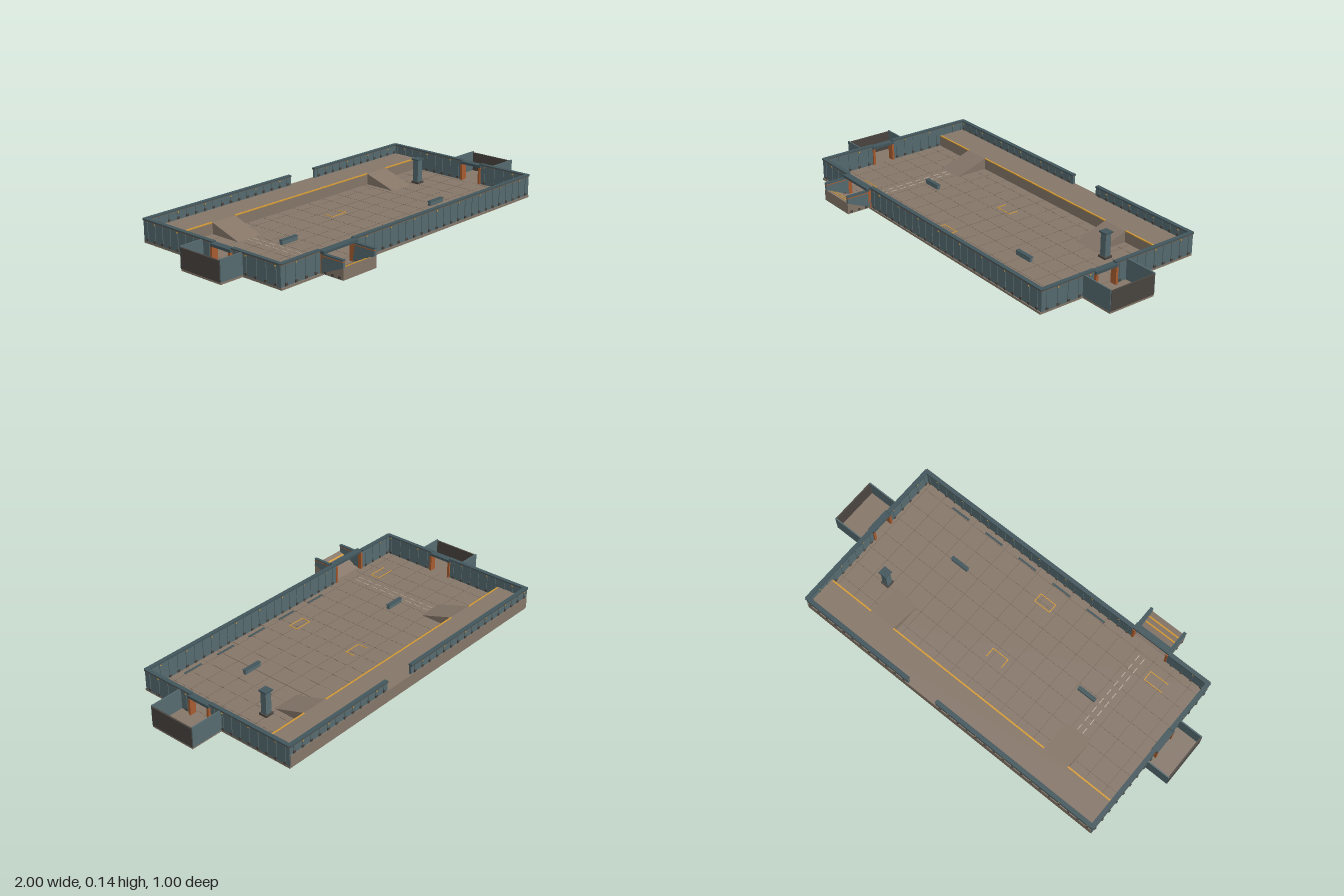
import * as THREE from 'three';

export function createModel() {
  const root = new THREE.Group();
  const mat = (name, color, side = THREE.FrontSide) => {
    const m = new THREE.MeshStandardMaterial({ color, side });
    m.name = name;
    return m;
  };
  const steel = mat('teal steel', 0x566b70);
  const trim = mat('dark teal trim', 0x42565c);
  const ground = mat('tan concrete', 0x857668);
  const seamMat = mat('seam brown', 0x6b5e52);
  const dark = mat('charcoal', 0x4a4540);
  const orange = mat('rust orange', 0xa85c30);
  const yellow = mat('marking yellow', 0xd39a35);
  const pale = mat('pale paint', 0xb5aa98);

  // box given by its bounds
  const box = (name, m, x0, x1, y0, y1, z0, z1, parent = root) => {
    const mesh = new THREE.Mesh(new THREE.BoxGeometry(x1 - x0, y1 - y0, z1 - z0), m);
    mesh.position.set((x0 + x1) / 2, (y0 + y1) / 2, (z0 + z1) / 2);
    mesh.name = name;
    parent.add(mesh);
    return mesh;
  };
  // side profile of [z, y] points, swept from x0 to x1
  const profile = (name, m, pts, x0, x1) => {
    const shape = new THREE.Shape(pts.map(p => new THREE.Vector2(p[0], p[1])));
    const geo = new THREE.ExtrudeGeometry(shape, { depth: x1 - x0, bevelEnabled: false });
    geo.rotateY(-Math.PI / 2).translate(x1, 0, 0);
    const mesh = new THREE.Mesh(geo, m);
    mesh.name = name;
    root.add(mesh);
  };

  const L = -0.875, R = 0.83, B = -0.495, F = 0.37, FLOOR = 0.01, DECK = 0.065, TOP = 0.112;

  // floor slab and raised rear deck
  box('floorSlab', ground, L, R, 0, FLOOR, B, F + 0.005);
  box('rearDeck', ground, L + 0.004, R - 0.004, FLOOR, DECK, B - 0.004, -0.335);

  // wall run along local x, outside face towards local +z
  const wall = (name, len, y0, x, z, turn) => {
    const g = new THREE.Group();
    g.name = name;
    const h = len / 2;
    box('panel', steel, -h, h, y0, TOP - 0.003, -0.012, 0, g);
    box('cap', trim, -h, h, TOP - 0.004, TOP + 0.003, -0.016, 0.005, g);
    box('capStripe', orange, -h, h, TOP - 0.006, TOP - 0.004, -0.0135, 0.004, g);
    const n = Math.max(1, Math.round(len / 0.0535));
    for (let i = 0; i < n; i++) {
      const c = -h + (i + 0.5) * len / n;
      box('rib', steel, c - 0.004, c + 0.004, y0, TOP - 0.006, -0.015, 0.003, g);
      box('ribFoot', dark, c - 0.006, c + 0.006, y0 + 0.004, y0 + 0.015, -0.017, 0.005, g);
      if (i % 3 === 1) box('lamp', yellow, c - 0.003, c + 0.003, 0.098, 0.103, -0.017, 0.005, g);
    }
    g.position.set(x, 0, z);
    g.rotation.y = turn;
    root.add(g);
  };
  const wallX = (name, x0, x1, y0, z, turn) => wall(name, x1 - x0, y0, (x0 + x1) / 2, z, turn);
  const wallZ = (name, z0, z1, x, turn) => wall(name, z1 - z0, FLOOR, x, (z0 + z1) / 2, turn);
  wallX('frontWall', -0.44, R, FLOOR, F, 0);
  wallX('frontWallEnd', L, -0.645, FLOOR, F, 0);
  wallX('backWallLeft', 0.2, R, DECK, B, Math.PI);
  wallX('backWallRight', L, 0.035, DECK, B, Math.PI);
  for (const [x, turn] of [[R, Math.PI / 2], [L, -Math.PI / 2]]) {
    wallZ('sideWallRear', B, -0.035, x, turn);
    wallZ('sideWallFront', 0.08, F, x, turn);
  }

  // side bays with dark end panels and framed gateways
  for (const [s, inner, outer] of [[1, R, 0.998], [-1, L, -0.998]]) {
    const span = (name, m, a, b, y0, y1, z0, z1) =>
      box(name, m, Math.min(a, b), Math.max(a, b), y0, y1, z0, z1);
    span('bayFloor', ground, inner, outer, 0, FLOOR, -0.1, 0.145);
    span('bayRearWall', steel, inner, outer, FLOOR, 0.111, -0.104, -0.098);
    span('bayFrontWall', steel, inner, outer, FLOOR, 0.111, 0.14, 0.146);
    span('bayEndPanel', dark, outer - s * 0.006, outer + s * 0.002, FLOOR, 0.105, -0.1, 0.142);
    const a = inner - s * 0.02, b = inner + s * 0.013;
    span('gateLintel', trim, a, b, 0.095, 0.108, -0.04, 0.085);
    for (const z of [-0.04, 0.073]) span('gateJamb', orange, a, b, FLOOR, 0.095, z, z + 0.012);
  }

  // sloping front entrance with side walls and gate
  const slope = z => FLOOR + (z - 0.375) * 0.44;
  profile('entranceRamp', ground, [[0.375, FLOOR], [0.5, FLOOR], [0.5, DECK]], -0.645, -0.44);
  for (const x of [-0.645, -0.452]) {
    profile('entranceWall', steel, [[0.375, FLOOR], [0.498, slope(0.498)], [0.498, 0.097], [0.375, 0.097]], x, x + 0.012);
    box('entranceCap', trim, x - 0.002, x + 0.014, 0.096, 0.1, 0.38, 0.5);
    box('entranceStripe', orange, x - 0.001, x + 0.013, 0.087, 0.091, 0.38, 0.499);
    for (const z of [0.4, 0.44, 0.48])
      box('entranceFoot', dark, x - 0.003, x + 0.015, 0.014, 0.025, z - 0.006, z + 0.006);
    box('entrancePost', orange, x, x + 0.012, FLOOR, 0.1, 0.355, 0.385);
  }
  box('entranceLintel', trim, -0.648, -0.437, 0.1, 0.112, 0.36, 0.394);
  for (const z of [0.445, 0.47])
    profile('entranceLine', yellow, [[z, slope(z)], [z + 0.007, slope(z + 0.007)],
      [z + 0.007, slope(z + 0.007) + 0.002], [z, slope(z) + 0.002]], -0.632, -0.453);

  // ramps up to the rear deck, and the yellow deck edge between them
  for (const x of [-0.612, 0.43])
    profile('deckRamp', ground, [[-0.335, FLOOR], [-0.335, DECK], [-0.165, FLOOR]], x, x + 0.138);
  for (const [a, b] of [[L + 0.02, -0.612], [-0.474, 0.43], [0.568, R - 0.02]])
    box('deckEdgeLine', yellow, a, b, DECK - 0.003, DECK + 0.002, -0.342, -0.334);

  // floor seams
  for (let x = -0.8; x < 0.8; x += 0.1)
    box('floorSeam', seamMat, x, x + 0.0015, FLOOR - 0.001, FLOOR + 0.0005, -0.334, 0.355);
  for (let z = -0.28; z < 0.35; z += 0.1)
    box('floorSeam', seamMat, L + 0.015, R - 0.015, FLOOR - 0.001, FLOOR + 0.0005, z, z + 0.0015);

  // painted parking outlines, each open on one side
  const line = (x0, x1, z0, z1) =>
    box('bayMarking', yellow, x0 - 0.002, x1 + 0.002, FLOOR - 0.001, FLOOR + 0.002, z0 - 0.002, z1 + 0.002);
  const outline = (x0, x1, z0, z1, open) => {
    if (open !== 'left') line(x0, x0, z0, z1);
    if (open !== 'rear') line(x0, x1, z0, z0);
    line(x1, x1, z0, z1);
    line(x0, x1, z1, z1);
  };
  outline(-0.07, 0.02, -0.152, -0.103, 'rear');
  outline(-0.07, 0.02, 0.205, 0.252, 'none');
  outline(-0.72, -0.62, 0.225, 0.275, 'left');

  // dashed lane
  for (const x of [-0.56, -0.53])
    for (let z = -0.16; z < 0.32; z += 0.054)
      box('laneDash', pale, x - 0.002, x + 0.002, FLOOR - 0.001, FLOOR + 0.002, z, z + 0.033);

  // low barriers and floor grates
  for (const [x, z] of [[-0.46, -0.003], [0.413, 0.122]]) {
    box('barrier', steel, x - 0.048, x + 0.048, FLOOR, 0.03, z - 0.008, z + 0.008);
    box('barrierTop', trim, x - 0.05, x + 0.05, 0.03, 0.033, z - 0.01, z + 0.01);
  }
  for (let i = 0; i < 5; i++) {
    const x = -0.25 + i * 0.208;
    box('floorGrate', trim, x - 0.053, x + 0.053, FLOOR - 0.001, FLOOR + 0.003, 0.325, 0.334);
  }

  // vent stack
  box('stackBase', dark, 0.6, 0.645, FLOOR, 0.02, -0.188, -0.145);
  box('stackBody', steel, 0.606, 0.639, 0.02, 0.131, -0.182, -0.151);
  box('stackCap', trim, 0.6, 0.645, 0.131, 0.138, -0.188, -0.145);
  return root;
}
